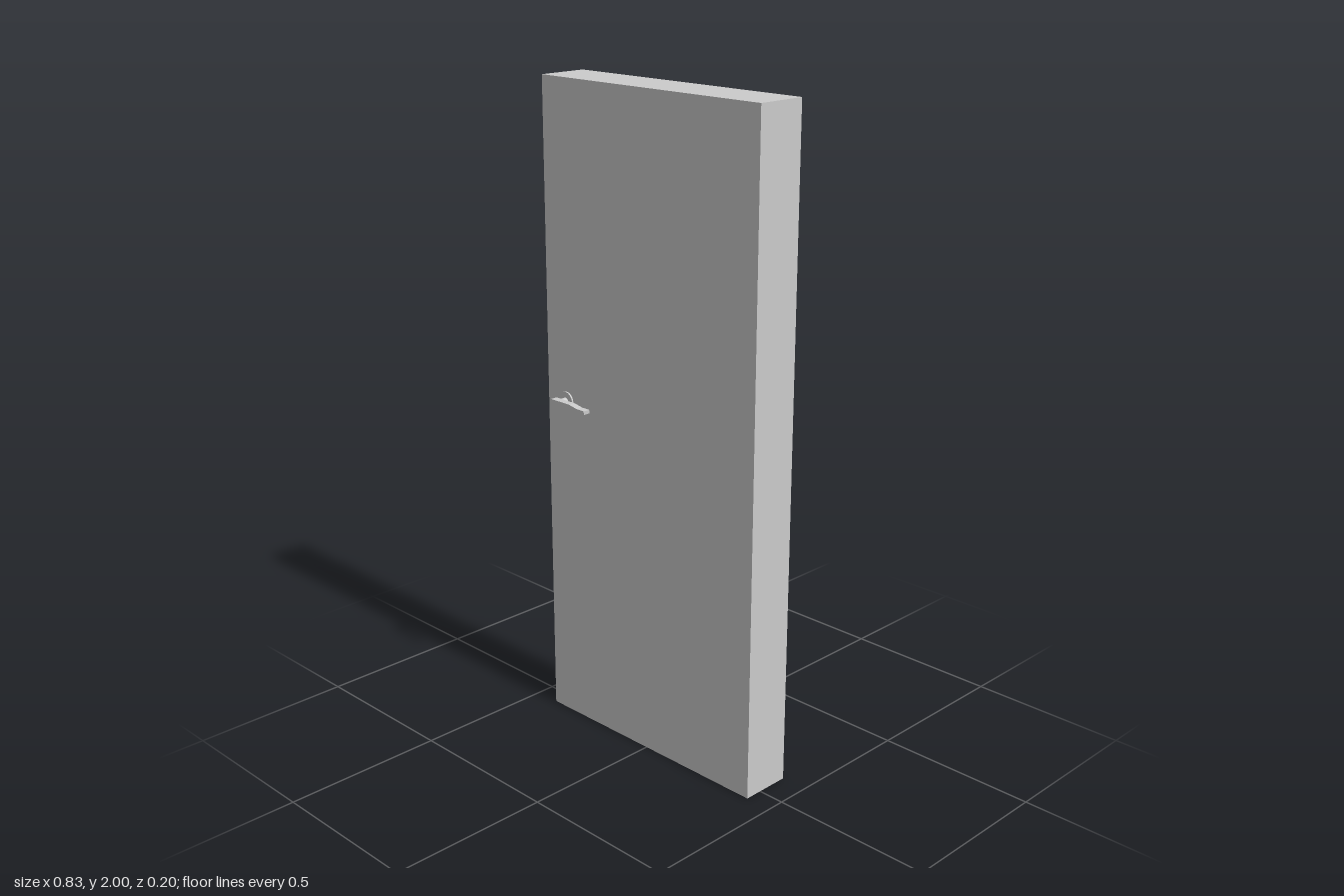
import * as THREE from 'three';

export function createModel() {
  const model = new THREE.Group();
  const material = new THREE.MeshStandardMaterial({ color: 0xcccccc });
  const add = (name, geometry, parent = model) => {
    const mesh = new THREE.Mesh(geometry, material);
    mesh.name = name;
    parent.add(mesh);
    return mesh;
  };

  // Solid door slab, with its front face at z = 0.056
  const front = 0.056;
  add('doorSlab', new THREE.BoxGeometry(0.834, 2, 0.158)).position.set(0, 1, front - 0.079);

  // Handle group, placed at the spindle axis on the front face
  const handle = new THREE.Group();
  handle.name = 'handle';
  handle.position.set(-0.337, 1.042, front);
  model.add(handle);

  // Round discs stacked out from the door
  const disc = (name, radius, z0, z1) => {
    const geometry = new THREE.CylinderGeometry(radius, radius, z1 - z0, 32);
    geometry.rotateX(Math.PI / 2);
    add(name, geometry, handle).position.z = (z0 + z1) / 2;
  };
  disc('handleRose', 0.029, 0, 0.005);
  disc('handleNeck', 0.011, 0.005, 0.023);

  // Flat lever: full height at the neck, stepping down to a slim tip
  const half = [[-0.02, 0.0115], [0.06, 0.0115], [0.094, 0.0055], [0.124, 0.0055]];
  const outline = [
    ...half.map(([x, y]) => new THREE.Vector2(x, -y)),
    ...half.map(([x, y]) => new THREE.Vector2(x, y)).reverse(),
  ];
  const lever = new THREE.ExtrudeGeometry(new THREE.Shape(outline), { depth: 0.022, bevelEnabled: false });
  add('handleLever', lever, handle).position.z = 0.023;

  return model;
}
